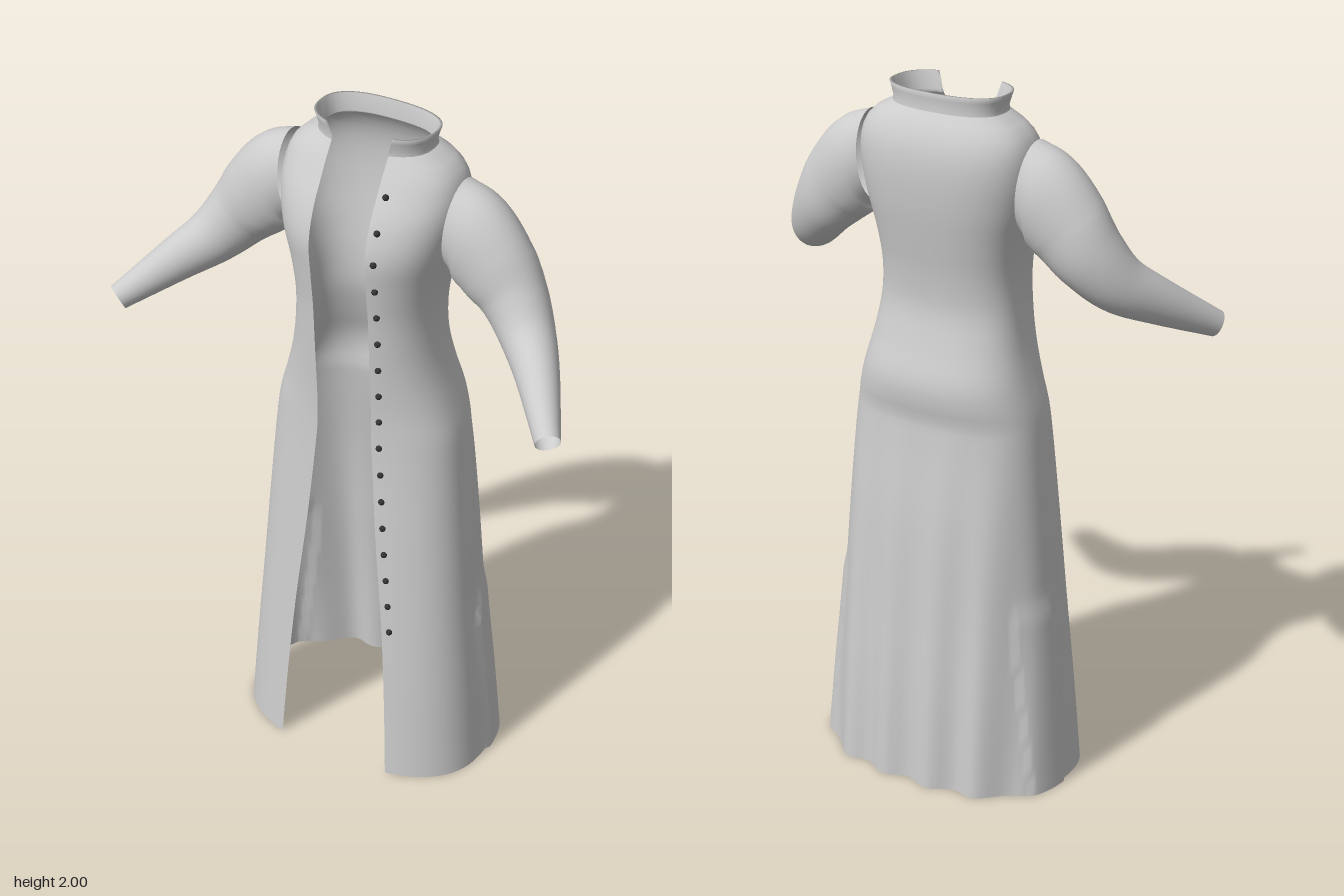
import * as THREE from 'three';

const N = 2.5; // squareness of the body cross-section
const cloth = new THREE.MeshStandardMaterial({ name: 'grey cloth', color: 0xcccccc, side: THREE.DoubleSide });
const dark = new THREE.MeshStandardMaterial({ name: 'dark button', color: 0x333333 });

// Body rows: height, half width, front edge z, back z, half gap, z of widest point
const rows = [
  [0, 0.378, 0.226, -0.268, 0.178, 0],
  [0.25, 0.358, 0.208, -0.255, 0.163, 0],
  [0.5, 0.335, 0.19, -0.237, 0.143, 0],
  [0.8, 0.31, 0.17, -0.215, 0.111, -0.005],
  [1.05, 0.287, 0.153, -0.188, 0.09, -0.01],
  [1.1, 0.28, 0.151, -0.185, 0.086, -0.01],
  [1.13, 0.274, 0.15, -0.192, 0.085, -0.01],
  [1.2, 0.254, 0.15, -0.195, 0.085, -0.015],
  [1.3, 0.227, 0.155, -0.165, 0.085, -0.015],
  [1.4, 0.21, 0.16, -0.141, 0.085, -0.01],
  [1.5, 0.206, 0.165, -0.145, 0.085, -0.01],
  [1.6, 0.22, 0.175, -0.16, 0.085, -0.015],
  [1.7, 0.245, 0.181, -0.174, 0.085, -0.02],
  [1.8, 0.26, 0.152, -0.179, 0.085, -0.025],
  [1.86, 0.255, 0.118, -0.172, 0.085, -0.03],
  [1.9, 0.238, 0.095, -0.158, 0.085, -0.03],
  [1.93, 0.205, 0.075, -0.14, 0.085, -0.03],
  [1.95, 0.165, 0.062, -0.122, 0.085, -0.03],
];
const rowCurve = new THREE.CubicInterpolant(rows.map(r => r[0]), rows.flatMap(r => r.slice(1)), 5);
const rowAt = y => [y, ...rowCurve.evaluate(y)];

// Front half-depth that puts the open edge exactly at its given z
const frontDepth = ([, w, zf, , g, zc]) => (zf - zc) / (1 - (g / w) ** N) ** (1 / N);
const spow = v => Math.sign(v) * Math.abs(v) ** (2 / N);

// Open ring from the left front edge round the back to the right one
function openRing(row, count = 96, folds = false) {
  const [y, w, , zb, g, zc] = row;
  const start = Math.asin((g / w) ** (N / 2));
  const pleat = folds ? 0.013 * Math.max(0, 1 - y / 1.1) : 0;
  const vent = folds ? 0.009 * (1 - THREE.MathUtils.smoothstep(y, 0.52, 0.6)) : 0;
  const ring = [];
  for (let i = 0; i <= count; i++) {
    const a = start + (2 * Math.PI - 2 * start) * i / count;
    const c = Math.cos(a);
    let x = w * spow(Math.sin(a));
    let z = zc + spow(c) * (c > 0 ? frontDepth(row) : zc - zb);
    // Hanging pleats at the back, raised vents at the sides
    z -= -pleat * Math.cos(2 * Math.PI * x / 0.146) * THREE.MathUtils.smoothstep(-c, 0.1, 0.6);
    if (z < -0.02 && z > -0.15) x += Math.sign(x) * vent;
    ring.push(new THREE.Vector3(x, y, z));
  }
  return ring;
}

// Skin over a list of rings
function loft(rings, closed = false, flip = false) {
  const n = rings[0].length, index = [];
  for (let j = 0; j < rings.length - 1; j++) {
    for (let i = 0; i < (closed ? n : n - 1); i++) {
      const k = (i + 1) % n;
      const a = j * n + i, b = j * n + k, c = a + n, d = b + n;
      index.push(...(flip ? [a, d, b, a, c, d] : [a, b, d, a, d, c]));
    }
  }
  const geo = new THREE.BufferGeometry().setFromPoints(rings.flat());
  geo.setIndex(index);
  geo.computeVertexNormals();
  return geo;
}

function add(parent, name, geo, mat) {
  const mesh = new THREE.Mesh(geo, mat);
  mesh.name = name;
  parent.add(mesh);
  return mesh;
}

// Sleeve from shoulder over the bent elbow to the open cuff
function sleeveGeometry(s) {
  const path = new THREE.CatmullRomCurve3([
    [0.25, 1.765, -0.02], [0.3, 1.735, -0.02], [0.36, 1.67, -0.017], [0.42, 1.6, -0.01],
    [0.485, 1.525, 0.03], [0.56, 1.465, 0.11], [0.667, 1.378, 0.248],
  ].map(p => new THREE.Vector3(...p)), false, 'catmullrom');
  const size = new THREE.CatmullRomCurve3([
    [0.128, 0.09], [0.132, 0.098], [0.12, 0.095], [0.1, 0.087],
    [0.082, 0.074], [0.064, 0.058], [0.037, 0.034],
  ].map(p => new THREE.Vector3(p[0], p[1], 0)), false, 'catmullrom');
  const rings = [];
  for (let j = 0; j <= 36; j++) {
    const t = j / 36;
    const dir = path.getTangent(t);
    dir.lerp(new THREE.Vector3(1, -0.1, 0), Math.max(0, 1 - t / 0.35)).normalize();
    const across = new THREE.Vector3().crossVectors(dir, new THREE.Vector3(0, 1, 0)).normalize();
    const up = new THREE.Vector3().crossVectors(across, dir);
    const c = path.getPoint(t), r = size.getPoint(t), ring = [];
    for (let i = 0; i < 32; i++) {
      const a = i / 32 * 2 * Math.PI;
      const p = c.clone().addScaledVector(across, r.y * Math.cos(a)).addScaledVector(up, r.x * Math.sin(a));
      p.x *= s;
      ring.push(p);
    }
    rings.push(ring);
  }
  // across x up points against the path, so the left sleeve is flipped
  return loft(rings, true, s > 0);
}

export function createModel() {
  const coat = new THREE.Group();
  coat.name = 'longCoat';

  // Body with flared skirt
  const rings = [];
  for (let j = 0; j <= 78; j++) rings.push(openRing(rowAt(j * 0.025), 128, true));
  add(coat, 'body', loft(rings), cloth);

  // Standing collar, folded over to the inside
  add(coat, 'collar', loft([
    [1.942, 0.168, 0.064, -0.124, 0.085, -0.03],
    [1.96, 0.163, 0.062, -0.121, 0.086, -0.03],
    [1.985, 0.17, 0.066, -0.122, 0.094, -0.03],
    [2, 0.175, 0.068, -0.125, 0.1, -0.03],
    [2, 0.168, 0.062, -0.118, 0.1, -0.03],
    [1.95, 0.156, 0.056, -0.114, 0.085, -0.03],
  ].map(r => openRing(r))), cloth);

  // Sleeves
  add(coat, 'leftSleeve', sleeveGeometry(1), cloth);
  add(coat, 'rightSleeve', sleeveGeometry(-1), cloth);

  // Row of buttons beside the left front edge
  const buttons = new THREE.Group();
  buttons.name = 'buttons';
  coat.add(buttons);
  const bead = new THREE.SphereGeometry(0.009, 12, 8);
  for (let i = 0; i < 17; i++) {
    const row = rowAt(1.86 - i * 0.085);
    const x = row[4] + 0.024;
    const z = row[5] + frontDepth(row) * (1 - (x / row[1]) ** N) ** (1 / N);
    add(buttons, 'button', bead, dark).position.set(x, row[0], z + 0.002);
  }
  return coat;
}
